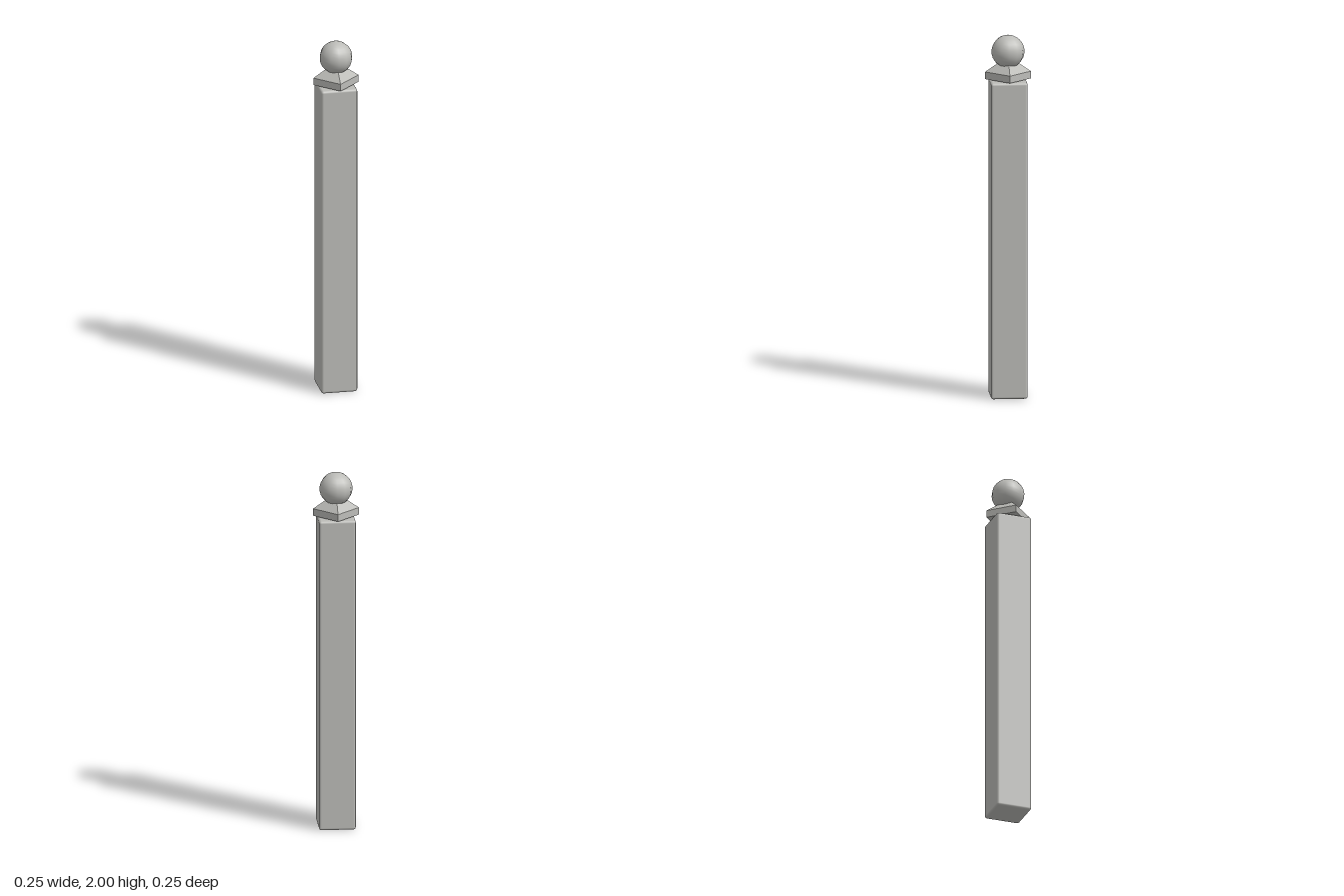
import * as THREE from 'three';
import { RoundedBoxGeometry } from 'three/addons/geometries/RoundedBoxGeometry.js';

export function createModel() {
  const model = new THREE.Group();
  model.name = 'bollardPost';

  const stone = new THREE.MeshStandardMaterial({ color: 0xbcbcb8 });
  stone.name = 'paleStone';

  const add = (name, geometry, y) => {
    const mesh = new THREE.Mesh(geometry, stone);
    mesh.name = name;
    mesh.position.y = y;
    model.add(mesh);
  };

  // Square shaft with a small edge bevel
  add('shaft', new RoundedBoxGeometry(0.2, 1.752, 0.2, 2, 0.013), 0.876);

  // Diamond cap: straight rim, then four sloping faces, each flat
  const flat = (top, bottom, height, open) => {
    const g = new THREE.CylinderGeometry(top, bottom, height, 4, 1, open).toNonIndexed();
    g.computeVertexNormals();
    return g;
  };
  add('capRim', flat(0.125, 0.125, 0.04, false), 1.778);
  add('capSlope', flat(0.06, 0.125, 0.045, false), 1.8205);

  // Ball finial
  add('ball', new THREE.SphereGeometry(0.09, 12, 16), 1.91);

  return model;
}
